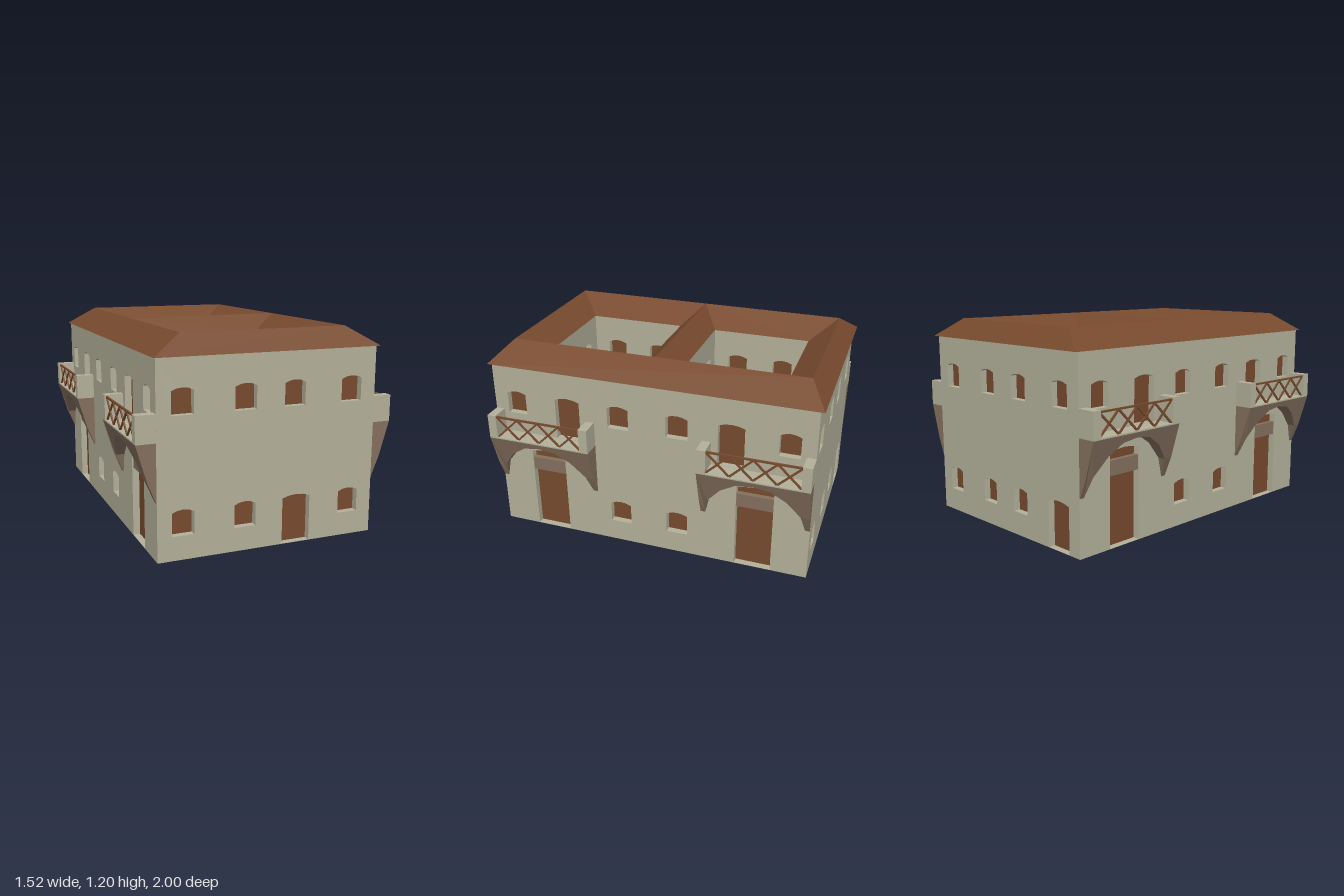
import * as THREE from 'three';

const mat = (name, color) =>
  new THREE.MeshStandardMaterial({ name, color, side: THREE.DoubleSide });
const plaster = mat('plaster', 0xb3b09a);
const terracotta = mat('terracotta', 0x774a2e);
const stone = mat('stone', 0x84705e);

const EAVE = 1.09, RIDGE = 1.2, RECESS = 0.04;

function add(parent, name, geometry, material, x = 0, y = 0, z = 0) {
  const m = new THREE.Mesh(geometry, material);
  m.name = name;
  m.position.set(x, y, z);
  parent.add(m);
  return m;
}
const box = (parent, name, material, w, h, d, x, y, z) =>
  add(parent, name, new THREE.BoxGeometry(w, h, d), material, x, y, z);

// Outline with a shallow arched top: u = centre, y = bottom
function archPoints({ u, y, w, h }) {
  const pts = [new THREE.Vector2(u - w / 2, y), new THREE.Vector2(u + w / 2, y)];
  for (let i = 0; i <= 4; i++) {
    const t = 1 - i / 2;
    pts.push(new THREE.Vector2(u + t * w / 2, y + h - 0.016 * t * t));
  }
  return pts;
}

// One wall facing local +z, with recessed windows and doors
function wall(parent, name, width, openings, position, turn) {
  const g = new THREE.Group();
  g.name = name;
  g.position.set(...position);
  g.rotation.y = turn;
  parent.add(g);
  const w = width / 2;
  const shape = new THREE.Shape([[-w, 0], [w, 0], [w, EAVE], [-w, EAVE]].map(p => new THREE.Vector2(...p)));
  for (const o of openings) {
    const pts = archPoints(o);
    shape.holes.push(new THREE.Path(pts));
    const outline = new THREE.Shape(pts);
    add(g, o.name + 'Panel', new THREE.ShapeGeometry(outline), terracotta, 0, 0, -RECESS);
    // reveal: only the side faces of the extruded opening
    const ex = new THREE.ExtrudeGeometry(outline, { depth: RECESS, bevelEnabled: false });
    const side = ex.groups[1];
    const reveal = new THREE.BufferGeometry();
    reveal.setAttribute('position', new THREE.BufferAttribute(
      ex.attributes.position.array.slice(side.start * 3, (side.start + side.count) * 3), 3));
    reveal.computeVertexNormals();
    add(g, o.name + 'Reveal', reveal, plaster, 0, 0, -RECESS);
    if (o.lintel) box(g, 'doorLintel', stone, o.w, 0.085, 0.03, o.u, 0.447, -0.022);
  }
  add(g, name + 'Face', new THREE.ShapeGeometry(shape), plaster);
  return g;
}

// Balcony on an arched bracket, projecting along local +z from the wall
function balcony(parent, width, depth, u = 0) {
  const g = new THREE.Group();
  g.name = 'balcony';
  g.position.x = u;
  parent.add(g);
  const w = width / 2, k = width / 0.645;
  const half = [[0.295, 0.33], [0.27, 0.445], [0.19, 0.545], [0.1, 0.605]];
  const arch = [...half.map(([x, y]) => [-x * k, y]), [0, 0.62],
    ...half.slice().reverse().map(([x, y]) => [x * k, y])];
  const outline = [[-w, 0.65], [-w, 0.445], [-w, 0.33], ...arch, [w, 0.33], [w, 0.445], [w, 0.65]];
  const geo = new THREE.ExtrudeGeometry(
    new THREE.Shape(outline.map(p => new THREE.Vector2(...p))), { depth: 1, bevelEnabled: false });
  // taper the front of the bracket back to the wall at its feet
  const p = geo.attributes.position;
  for (let i = 0; i < p.count; i++) {
    const y = p.getY(i);
    const f = y < 0.445 ? 0.45 * (y - 0.33) / 0.115 : 0.45 + 0.55 * (y - 0.445) / 0.205;
    p.setZ(i, p.getZ(i) * depth * Math.max(f, 0.02));
  }
  geo.computeVertexNormals();
  add(g, 'archedBracket', geo, stone);
  box(g, 'balconyFloor', plaster, width, 0.008, depth, 0, 0.654, depth / 2);
  const pier = 0.053 * (k < 1 ? 0.7 : 1);
  for (const s of [-1, 1])
    box(g, 'balconyPier', plaster, pier, 0.15, depth, s * (w - pier / 2), 0.727, depth / 2);
  // crossed railing
  const span = width - 2 * pier, cell = span / 4, h = 0.13, z = depth - 0.014;
  box(g, 'topRail', terracotta, span, 0.01, 0.012, 0, 0.79, z);
  for (let i = 0; i < 4; i++)
    for (const s of [-1, 1])
      box(g, 'railingCross', terracotta, Math.hypot(cell, h), 0.011, 0.008,
        (i - 1.5) * cell, 0.723, z).rotation.z = s * Math.atan2(h, cell);
}

// Four sloping faces between two rectangles [x, zMin, zMax]
function slopes(parent, name, low, high) {
  const ring = ([x, a, b], y) => [[-x, y, b], [x, y, b], [x, y, a], [-x, y, a]];
  const lo = ring(low, EAVE), hi = ring(high, RIDGE), v = [];
  for (let i = 0; i < 4; i++) {
    const j = (i + 1) % 4;
    const quad = [lo[i], lo[j], hi[j], lo[i], hi[j], hi[i]];
    if (low[0] < high[0]) quad.reverse();
    v.push(...quad.flat());
  }
  const geo = new THREE.BufferGeometry();
  geo.setAttribute('position', new THREE.Float32BufferAttribute(v, 3));
  geo.computeVertexNormals();
  add(parent, name, geo, terracotta);
}

const win = (u, y, w = 0.125) => ({ name: 'window', u, y, w, h: 0.145 });
const door = (u, w = 0.17, h = 0.28) => ({ name: 'door', u, y: 0.002, w, h });
const balconyDoor = u => ({ name: 'balconyDoor', u, y: 0.66, w: 0.155, h: 0.27 });
const UP = 0.785, DOWN = 0.135;

export function createModel() {
  const model = new THREE.Group();
  model.name = 'courtyardHouse';

  // Front and back
  const cols = [-0.505, -0.147, 0.145, 0.498];
  wall(model, 'frontWall', 1.3,
    [...cols.map(u => win(u, UP)), ...[0, 1, 3].map(i => win(cols[i], DOWN)), door(0.165)],
    [0, 0, 0.976], 0);
  wall(model, 'backWall', 1.3,
    [...cols.map(u => win(u, UP)), ...[0, 1, 2].map(i => win(cols[i], DOWN)), door(0.48)],
    [0, 0, -0.976], Math.PI);

  // Long sides with two balconies each
  for (const s of [-1, 1]) {
    const openings = [];
    for (const m of [-1, 1])
      openings.push(win(m * 0.83, UP, 0.12), win(m * 0.18, UP, 0.13), win(m * 0.18, DOWN, 0.13),
        balconyDoor(m * 0.5), { ...door(m * 0.65, 0.22, 0.55), lintel: true });
    const g = wall(model, s > 0 ? 'leftWall' : 'rightWall', 1.952, openings,
      [s * 0.65, 0, 0], s * Math.PI / 2);
    for (const m of [-1, 1]) balcony(g, 0.645, 0.11, m * 0.653);
  }

  // Two courtyards, open to the sky
  for (const c of [-1, 1]) {
    const yard = new THREE.Group();
    yard.name = 'courtyard';
    yard.position.z = c * 0.43;
    model.add(yard);
    for (const s of [-1, 1]) {
      wall(yard, 'courtyardSideWall', 0.62,
        [-0.15, 0.15].flatMap(u => [win(u, UP), win(u, DOWN)]),
        [s * 0.308, 0, 0], -s * Math.PI / 2);
      const g = wall(yard, 'courtyardEndWall', 0.616,
        [balconyDoor(s * -0.15), win(s * 0.15, UP), door(s * 0.13), win(s * -0.15, DOWN)],
        [0, 0, s * 0.31], s > 0 ? Math.PI : 0);
      balcony(g, 0.614, 0.095);
    }
  }

  // Roof
  slopes(model, 'outerRoof', [0.664, -1, 1], [0.49, -0.897, 0.897]);
  slopes(model, 'frontCourtyardRoof', [0.306, 0.12, 0.738], [0.49, 0, 0.897]);
  slopes(model, 'backCourtyardRoof', [0.306, -0.738, -0.12], [0.49, -0.897, 0]);
  return model;
}
